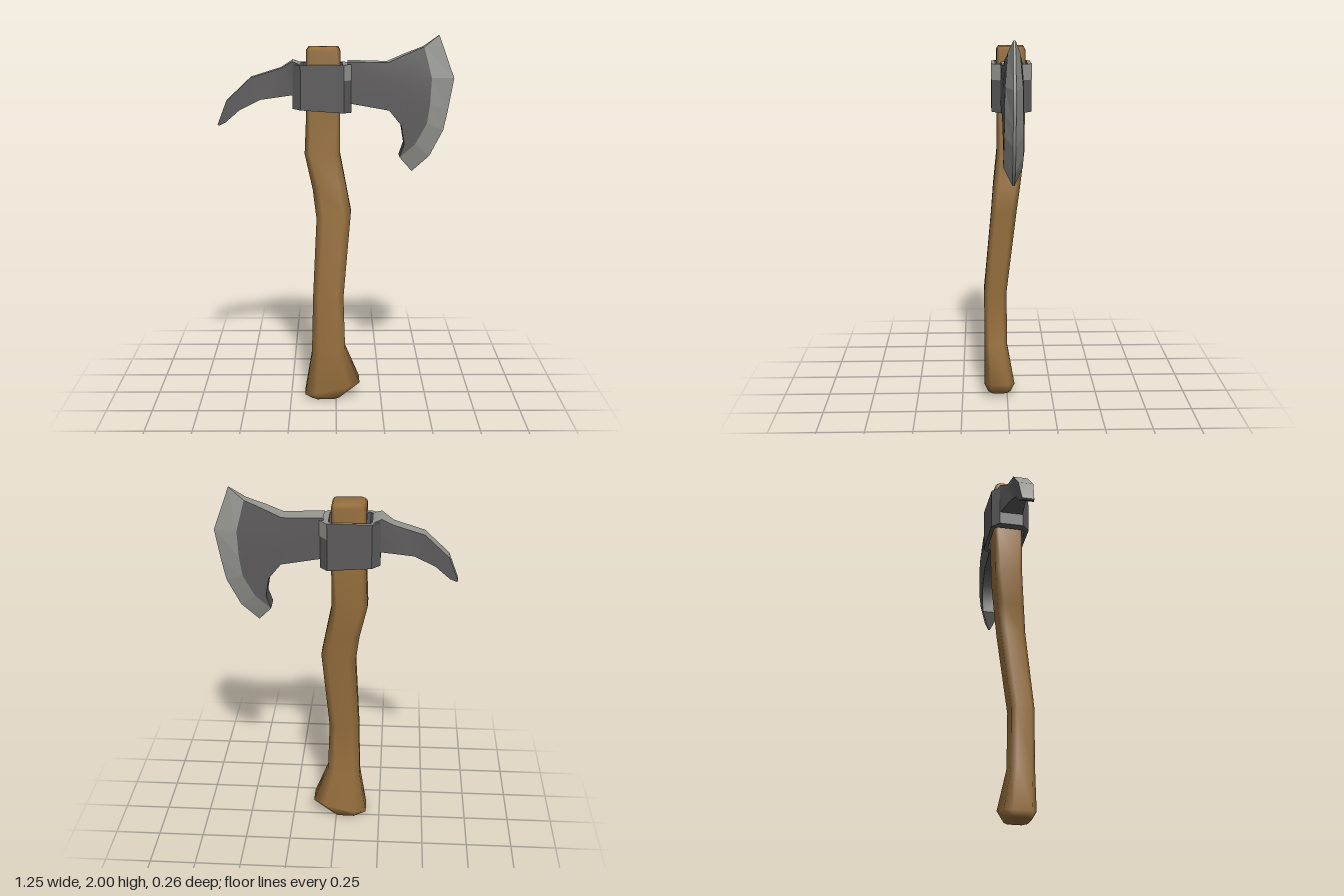
import * as THREE from 'three';

const wood = new THREE.MeshStandardMaterial({ color: 0x966f3d });
wood.name = 'wood';
const darkSteel = new THREE.MeshStandardMaterial({ color: 0x5c5a5a });
darkSteel.name = 'dark steel';
const brightSteel = new THREE.MeshStandardMaterial({ color: 0x979792 });
brightSteel.name = 'bright steel';

const ZC = -0.022; // mid plane of the head

// Surface through rows of [x, y, z]; it faces (row direction) x (column direction)
function sheet(name, rows, material, { closed = false, flat = false } = {}) {
  const n = rows[0].length;
  const index = [];
  for (let i = 0; i < rows.length - 1; i++) {
    for (let j = 0; j < (closed ? n : n - 1); j++) {
      const k = (j + 1) % n;
      const a = i * n + j, b = i * n + k, c = a + n, d = b + n;
      index.push(a, c, d, a, d, b);
    }
  }
  let geo = new THREE.BufferGeometry();
  geo.setAttribute('position', new THREE.Float32BufferAttribute(rows.flat(2), 3));
  geo.setIndex(index);
  if (flat) geo = geo.toNonIndexed();
  geo.computeVertexNormals();
  const mesh = new THREE.Mesh(geo, material);
  mesh.name = name;
  return mesh;
}

// Give [x, y, halfThickness] points a z on the front (+1) or back (-1)
const side = (pts, s) => pts.map(([x, y, h]) => [x, y, ZC + s * h]);

// Symmetrical plate from rows running top to bottom, points running towards +x
function plate(name, rows) {
  const g = new THREE.Group();
  g.name = name;
  const front = rows.map(r => side(r, 1));
  const back = rows.map(r => side(r, -1));
  const last = rows.length - 1;
  g.add(
    sheet(name + 'Front', front, darkSteel),
    sheet(name + 'Back', [...back].reverse(), darkSteel),
    sheet(name + 'Top', [back[0], front[0]], brightSteel),
    sheet(name + 'Underside', [front[last], back[last]], darkSteel),
  );
  return g;
}

// Curved wooden handle: slanted octagonal sections
function handle() {
  // left x, left y, right x, right y, back z, front z, chamfer
  const sections = [
    [-0.06, 0.003, -0.06, 0.003, 0.04, 0.04, 0.4],
    [-0.135, 0.004, 0.02, 0.006, -0.02, 0.105, 0.4],
    [-0.172, 0.03, 0.13, 0.1, -0.04, 0.127, 0.4],
    [-0.133, 0.27, 0.05, 0.3, 0, 0.125, 0.4],
    [-0.125, 0.6, 0.04, 0.6, 0.003, 0.127, 0.4],
    [-0.105, 1.03, 0.08, 1.07, -0.05, 0.087, 0.4],
    [-0.125, 1.19, 0.055, 1.2, -0.07, 0.075, 0.4],
    [-0.167, 1.38, 0.02, 1.38, -0.093, 0.055, 0.3],
    [-0.157, 1.6, 0.022, 1.6, -0.095, 0.055, 0.2],
    [-0.157, 1.92, 0.022, 1.92, -0.097, 0.055, 0.2],
    [-0.145, 1.938, 0.012, 1.938, -0.087, 0.045, 0.2],
    [-0.067, 1.94, -0.067, 1.94, -0.02, -0.02, 0.2],
  ];
  const rows = sections.map(([xl, yl, xr, yr, zb, zf, c]) => {
    const e = 1 - c;
    return [[1, -e], [1, e], [e, 1], [-e, 1], [-1, e], [-1, -e], [-e, -1], [e, -1]].map(([u, v]) => {
      const t = (u + 1) / 2;
      return [xl + (xr - xl) * t, yl + (yr - yl) * t, zb + (zf - zb) * (v + 1) / 2];
    });
  });
  return sheet('handle', rows, wood, { closed: true });
}

// Open socket around the handle
function collar() {
  const g = new THREE.Group();
  g.name = 'collar';
  const outer = [[0.08, -0.055], [0.08, 0.055], [0.04, 0.105], [-0.185, 0.105],
    [-0.228, 0.065], [-0.228, -0.065], [-0.185, -0.105], [0.04, -0.105]];
  const inner = [[0.035, -0.07], [0.035, 0.07], [0.022, 0.085], [-0.172, 0.085],
    [-0.185, 0.07], [-0.185, -0.07], [-0.172, -0.085], [0.022, -0.085]];
  const top = ring => ring.map(([x, z]) => [x, 1.852, ZC + z]);
  const bottom = ring => ring.map(([x, z]) => [x, 1.605 - 0.07 * x, ZC + z]);
  const opt = { closed: true, flat: true };
  g.add(
    sheet('collarWall', [bottom(outer), top(outer)], darkSteel, opt),
    sheet('collarRim', [top(outer), top(inner)], brightSteel, opt),
    sheet('collarBore', [top(inner), bottom(inner)], darkSteel, opt),
    sheet('collarBase', [bottom(inner), bottom(outer)], darkSteel, opt),
  );
  // Bright worn patch on each corner next to the blade
  const patch = y => [[0.042, y, 0.107], [0.082, y, 0.057]];
  for (const s of [1, -1]) {
    const rows = [side(patch(1.853), s), side(patch(1.77), s)];
    g.add(sheet('collarPatch', s > 0 ? rows : rows.reverse(), brightSteel));
  }
  return g;
}

// Axe blade: body grid out to the bevel line, then the ground edge
function blade() {
  const thickness = [0.058, 0.054, 0.052, 0.049];
  const body = [
    [[0.06, 1.865], [0.27, 1.86], [0.36, 1.9], [0.41, 1.92]],
    [[0.06, 1.8], [0.27, 1.78], [0.38, 1.78], [0.44, 1.78]],
    [[0.06, 1.73], [0.27, 1.7], [0.37, 1.66], [0.43, 1.64]],
    [[0.06, 1.69], [0.27, 1.65], [0.36, 1.58], [0.42, 1.54]],
    [[0.06, 1.67], [0.275, 1.63], [0.352, 1.55], [0.39, 1.48]],
    [[0.06, 1.65], [0.28, 1.61], [0.345, 1.53], [0.362, 1.43]],
  ].map((row, i) => row.map(([x, y], j) => [x, y, thickness[j] - (i === 0 ? 0.005 * j : 0)]));
  const bevel = [[0.46, 1.94, 0.03], [0.502, 1.78, 0.043], [0.495, 1.64, 0.046],
    [0.48, 1.54, 0.047], [0.42, 1.43, 0.049], [0.338, 1.36, 0.05]];
  const edge = [[0.54, 2, 0.005], [0.623, 1.775, 0.007], [0.595, 1.61, 0.007],
    [0.572, 1.5, 0.007], [0.5, 1.36, 0.007], [0.407, 1.277, 0.005]];

  const g = plate('blade', body.map((row, i) => [...row, bevel[i]]));
  const strip = bevel.map((p, i) => [p, edge[i]]);
  const front = strip.map(r => side(r, 1));
  const back = strip.map(r => side(r, -1));
  g.add(
    sheet('edgeFront', front, brightSteel, { flat: true }),
    sheet('edgeBack', [...back].reverse(), brightSteel, { flat: true }),
    sheet('edgeTop', [back[0], front[0]], brightSteel),
    sheet('edgeUnderside', [front[5], back[5]], brightSteel),
    sheet('cuttingEdge', [side(edge, -1), side(edge, 1)], brightSteel),
  );
  return g;
}

// Hooked spike opposite the blade
function spike() {
  const top = [[-0.627, 1.535, 0.032], [-0.578, 1.66, 0.04], [-0.45, 1.78, 0.039],
    [-0.29, 1.83, 0.04], [-0.23, 1.868, 0.066], [-0.19, 1.853, 0.08]];
  const bottom = [[-0.622, 1.527, 0.032], [-0.585, 1.545, 0.04], [-0.51, 1.61, 0.039],
    [-0.4, 1.665, 0.04], [-0.23, 1.692, 0.062], [-0.19, 1.692, 0.08]];
  const g = plate('spike', [top, bottom]);
  const tip = [top[0], bottom[0]];
  g.add(sheet('spikeTip', [side(tip, 1), side(tip, -1)], darkSteel));
  return g;
}

export function createModel() {
  const model = new THREE.Group();
  model.name = 'axe';
  model.add(handle(), collar(), blade(), spike());
  return model;
}
